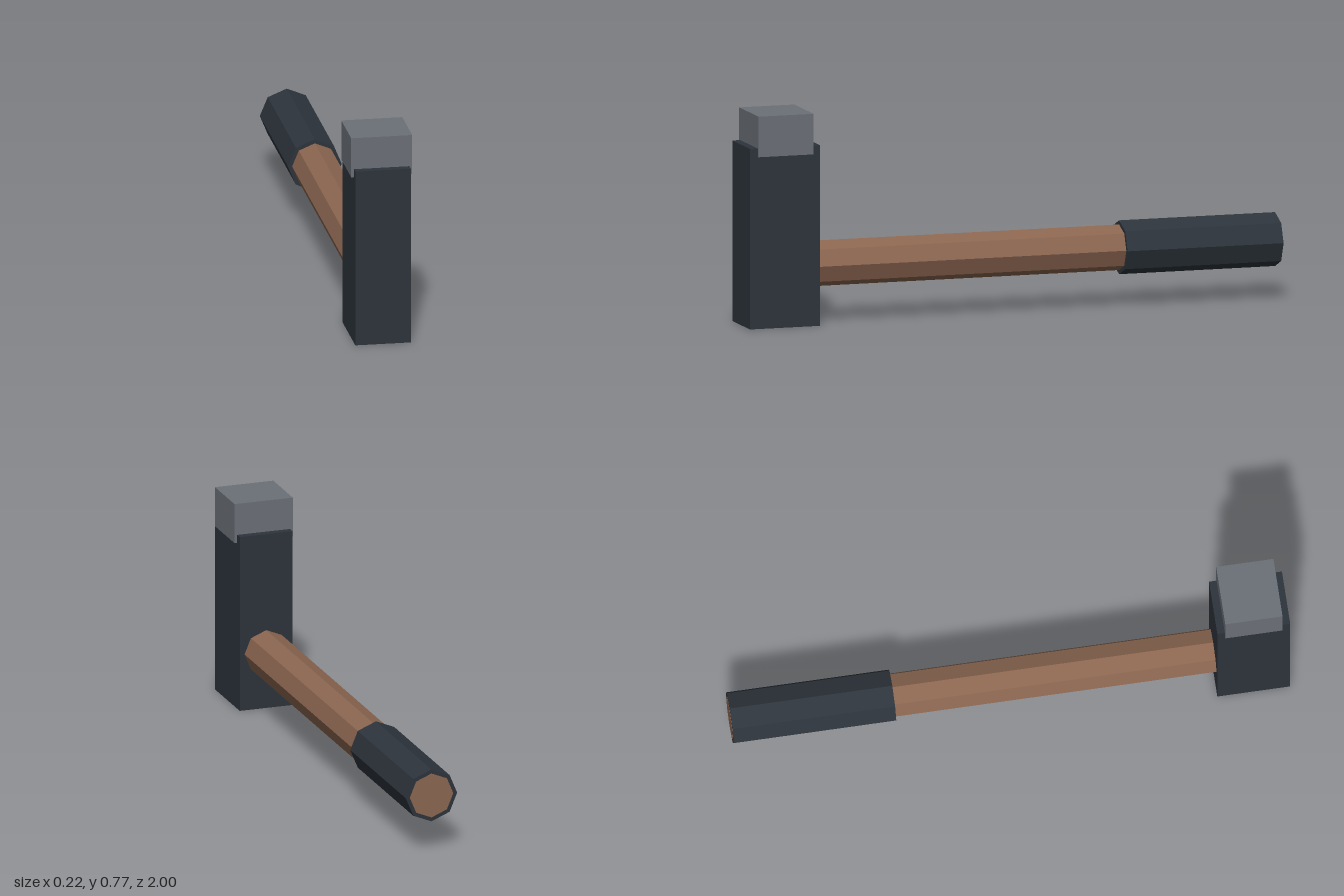
import * as THREE from 'three';

const mat = (name, color) => {
  const m = new THREE.MeshStandardMaterial({ color, flatShading: true });
  m.name = name;
  return m;
};

export function createModel() {
  const group = new THREE.Group();
  group.name = 'hammer';
  const dark = mat('darkIron', 0x2d343c);
  const steel = mat('greySteel', 0x6b6f77);
  const wood = mat('brownWood', 0x8b6650);
  const axisY = 0.209;

  const add = (name, geometry, material, x, y, z) => {
    const mesh = new THREE.Mesh(geometry, material);
    mesh.name = name;
    mesh.position.set(x, y, z);
    group.add(mesh);
  };

  // Eight-sided rod lying along z, from z0 to z1
  const rod = (name, radius, z0, z1, material) =>
    add(name, new THREE.CylinderGeometry(radius, radius, z1 - z0, 8).rotateX(Math.PI / 2),
      material, 0, axisY, (z0 + z1) / 2);

  // Head block with a slightly wider striking cap on top
  add('head', new THREE.BoxGeometry(0.2, 0.65, 0.262), dark, 0, 0.325, 0.869);
  add('strikingCap', new THREE.BoxGeometry(0.22, 0.146, 0.206), steel, 0, 0.693, 0.868);

  // Wooden shaft, its end showing through the grip
  rod('handle', 0.082, -1, 0.8, wood);
  rod('grip', 0.097, -0.999, -0.415, dark);

  return group;
}
